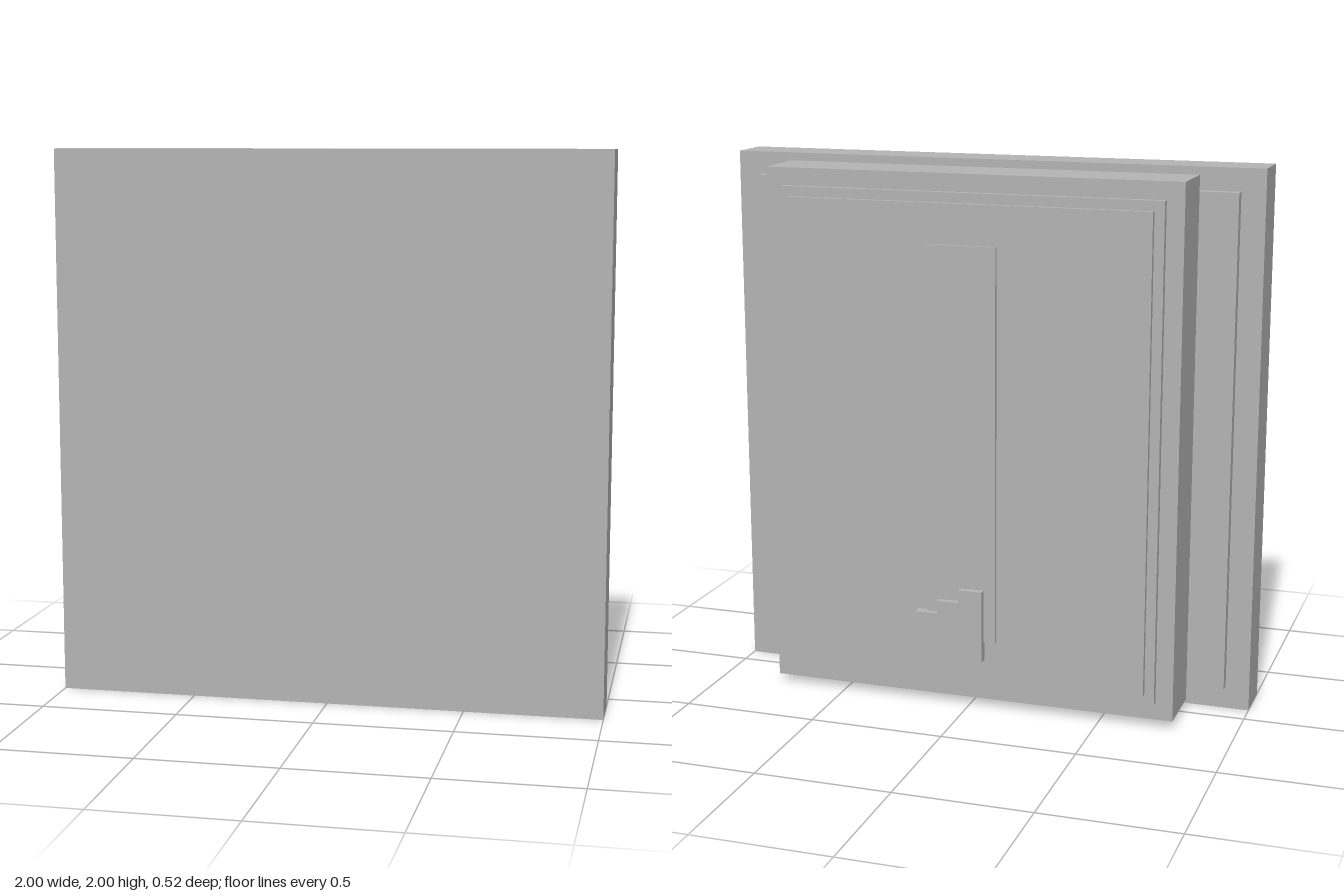
import * as THREE from 'three';

export function createModel() {
  const model = new THREE.Group();
  const grey = new THREE.MeshStandardMaterial({ color: 0xb3b3b3 });
  grey.name = 'grey';

  // Box given by its extents on each axis
  const slab = (name, x0, x1, y0, y1, z0, z1) => {
    const mesh = new THREE.Mesh(new THREE.BoxGeometry(x1 - x0, y1 - y0, z1 - z0), grey);
    mesh.position.set((x0 + x1) / 2, (y0 + y1) / 2, (z0 + z1) / 2);
    mesh.name = name;
    model.add(mesh);
  };

  // Stacked body, from the front plate to the rear panel
  slab('frontPlate', -1, 1, 0, 2, 0.088, 0.26);
  slab('spacer', -0.912, 0.912, 0.085, 1.917, 0.05, 0.088);
  slab('housing', -0.772, 0.772, 0.03, 1.975, -0.177, 0.05);
  slab('outerStep', -0.708, 0.708, 0.094, 1.911, -0.202, -0.177);
  slab('rearPanel', -0.672, 0.672, 0.13, 1.875, -0.222, -0.202);

  // Raised strip on the rear panel
  slab('rearStrip', -0.117, 0.142, 0.273, 1.73, -0.236, -0.222);

  // Stepped arrow, one prism narrowing towards +x
  const half = [[-0.073, 0.135], [0.016, 0.135], [0.016, 0.086], [0.1, 0.086], [0.1, 0.037], [0.183, 0.037]];
  const outline = [...half, ...half.map(([x, y]) => [x, -y]).reverse()];
  const shape = new THREE.Shape(outline.map(([x, y]) => new THREE.Vector2(x, y)));
  const arrow = new THREE.Mesh(new THREE.ExtrudeGeometry(shape, { depth: 0.038, bevelEnabled: false }), grey);
  arrow.position.set(0, 0.337, -0.26);
  arrow.name = 'steppedArrow';
  model.add(arrow);

  return model;
}
